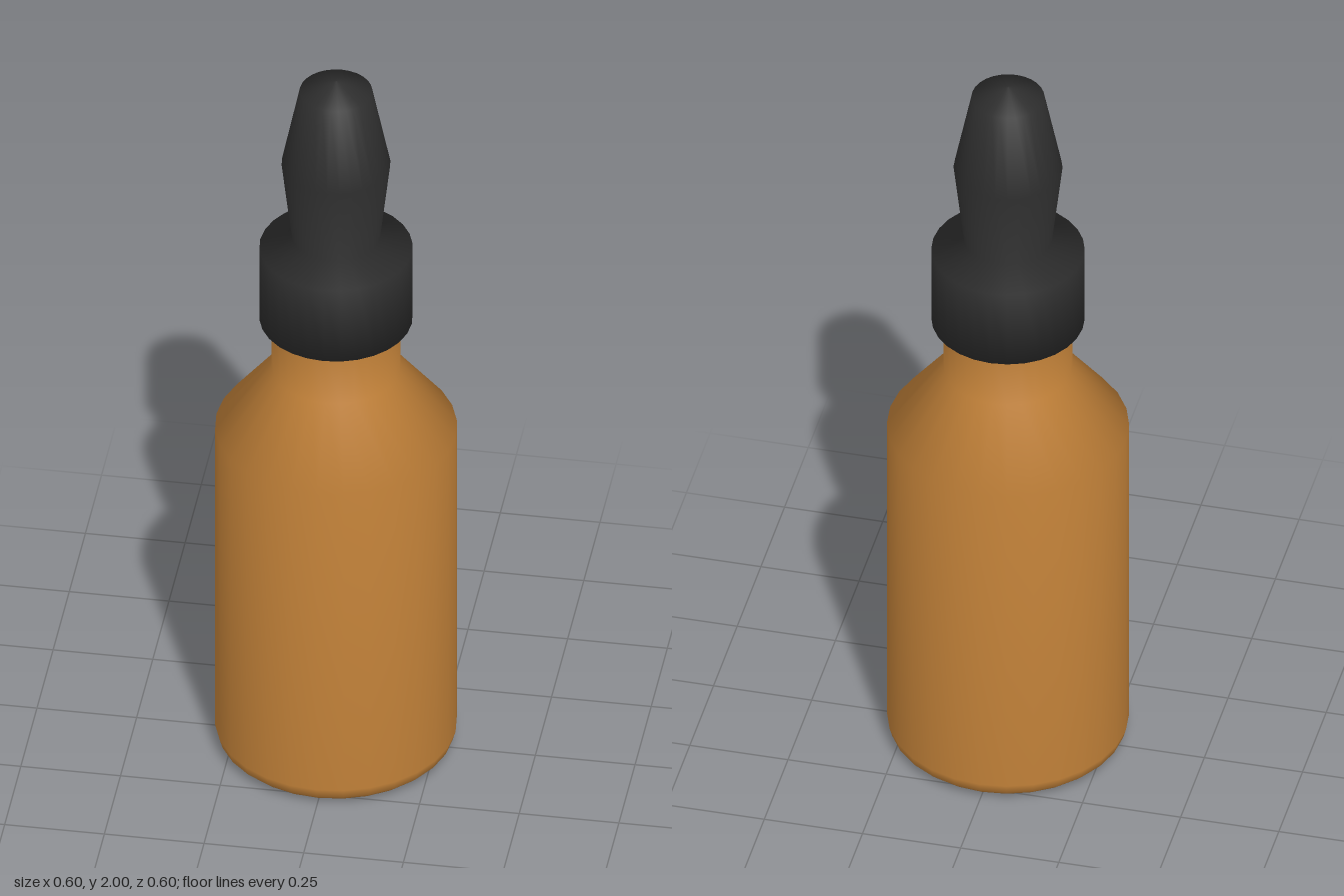
import * as THREE from 'three';

const SIDES = 28;

// Revolve a bottom-to-top [radius, height] profile around the y axis
function turned(name, profile, material) {
  const points = profile.map(([r, y]) => new THREE.Vector2(r, y));
  const mesh = new THREE.Mesh(new THREE.LatheGeometry(points, SIDES), material);
  mesh.name = name;
  return mesh;
}

export function createModel() {
  const amber = new THREE.MeshStandardMaterial({ color: 0xc08038 });
  amber.name = 'amber glass';
  const rubber = new THREE.MeshStandardMaterial({ color: 0x2e2e2e });
  rubber.name = 'black rubber';

  const group = new THREE.Group();
  group.name = 'dropperBottle';

  // Glass body: rounded foot, straight wall, sloped shoulder, neck
  group.add(turned('bottle', [
    [0, 0], [0.25, 0], [0.275, 0.008], [0.293, 0.025], [0.3, 0.05],
    [0.3, 0.95], [0.16, 1.13], [0.16, 1.3],
  ], amber));

  // Screw collar running up into the squeeze bulb
  group.add(turned('dropperCap', [
    [0, 1.28], [0.19, 1.28], [0.19, 1.495], [0.11, 1.53],
    [0.135, 1.75], [0.09, 1.97], [0, 2],
  ], rubber));

  return group;
}
